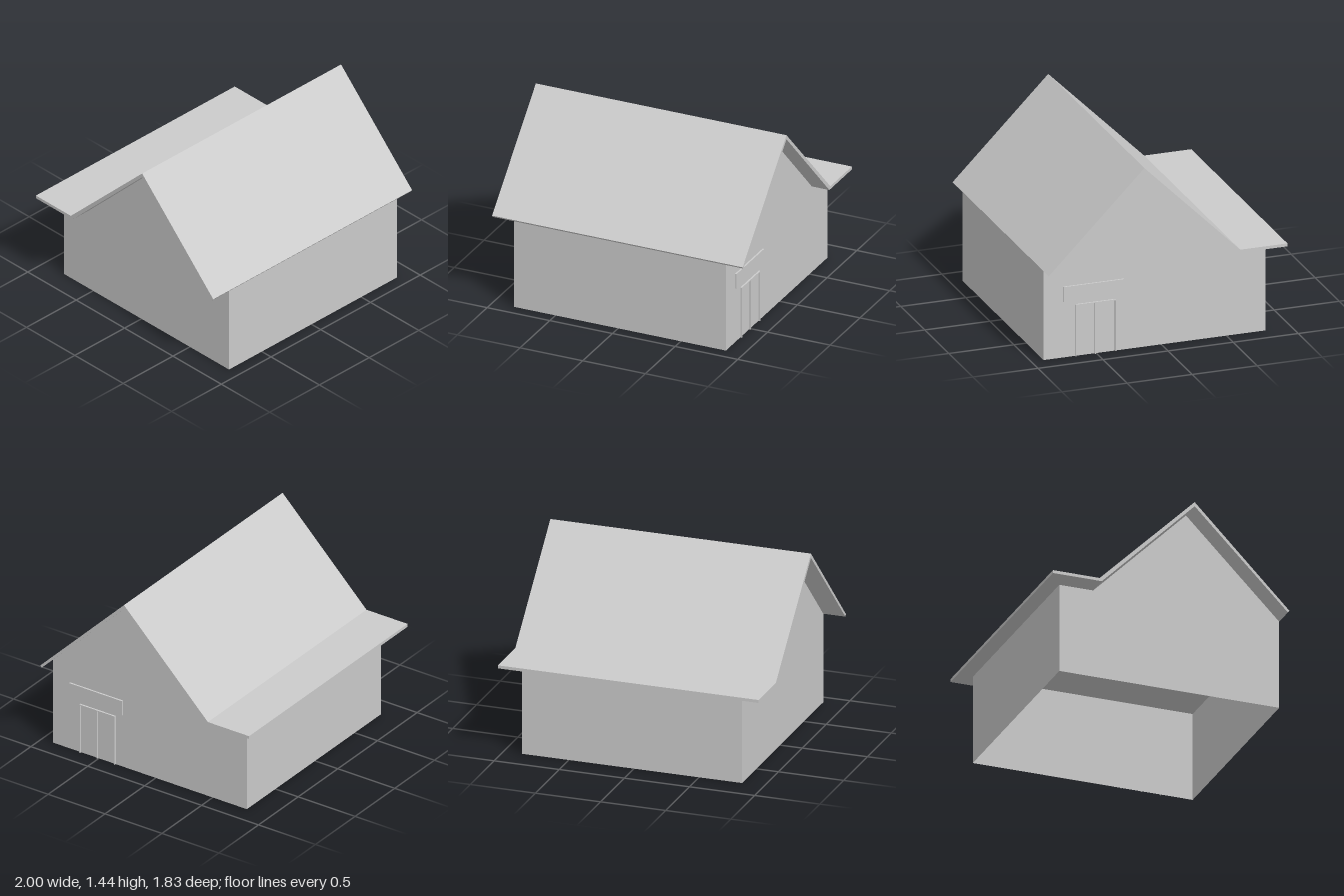
import * as THREE from 'three';

const material = new THREE.MeshStandardMaterial({ color: 0xcccccc, side: THREE.DoubleSide, flatShading: true });

// Overall sizes
const LEFT = -0.83, RIGHT = 0.86;     // gable wall positions along x
const FRONT = 0.905, BACK = -0.8;     // long wall positions along z
const EAVES = 0.685, RIDGE_Z = 0.182;
const RELIEF = 0.013;                 // how far door and sign stand out

function addMesh(parent, name, geometry) {
  const mesh = new THREE.Mesh(geometry, material);
  mesh.name = name;
  parent.add(mesh);
  return mesh;
}

// Shape from [z, y] points; drawn with -z as its horizontal axis so it faces +x once turned
function sideShape(points) {
  return new THREE.Shape(points.map(([z, y]) => new THREE.Vector2(-z, y)));
}

// Box standing out from the right wall, given by its z and y ranges
function wallBox(parent, name, z0, z1, y0, y1) {
  const box = addMesh(parent, name, new THREE.BoxGeometry(RELIEF, y1 - y0, z1 - z0));
  box.position.set(RIGHT + RELIEF / 2, (y0 + y1) / 2, (z0 + z1) / 2);
}

export function createModel() {
  const house = new THREE.Group();
  house.name = 'house';

  // Walls: thin shell, open at the bottom
  const walls = new THREE.Group();
  walls.name = 'walls';
  house.add(walls);
  const gable = sideShape([
    [FRONT, 0], [BACK, 0], [BACK, EAVES], [-0.54, EAVES], [RIDGE_Z, 1.405], [FRONT, EAVES],
  ]);
  for (const [name, x] of [['rightGableWall', RIGHT], ['leftGableWall', LEFT]]) {
    const geometry = new THREE.ShapeGeometry(gable).rotateY(Math.PI / 2);
    addMesh(walls, name, geometry).position.x = x;
  }
  const width = RIGHT - LEFT, midX = (RIGHT + LEFT) / 2;
  for (const [name, z, turn] of [['frontWall', FRONT, 0], ['backWall', BACK, Math.PI]]) {
    const wall = addMesh(walls, name, new THREE.PlaneGeometry(width, EAVES));
    wall.position.set(midX, EAVES / 2, z);
    wall.rotation.y = turn;
  }

  // Flat ceiling at eaves height
  const ceiling = addMesh(house, 'ceiling', new THREE.PlaneGeometry(width, FRONT - BACK));
  ceiling.rotation.x = Math.PI / 2;
  ceiling.position.set(midX, EAVES - 0.002, (FRONT + BACK) / 2);

  // Roof: two slopes and a flat rear canopy as one folded slab
  const roofShape = sideShape([
    [FRONT, EAVES], [RIDGE_Z, 1.405], [-0.538, EAVES], [-0.917, EAVES],
    [-0.917, 0.708], [-0.555, 0.708], [RIDGE_Z, 1.438], [0.917, 0.7],
  ]);
  const roof = new THREE.ExtrudeGeometry(roofShape, { depth: 2, bevelEnabled: false });
  addMesh(house, 'roof', roof.rotateY(Math.PI / 2).translate(-1, 0, 0));

  // Double door outlined by slim posts and a top rail
  const door = new THREE.Group();
  door.name = 'doorFrame';
  house.add(door);
  const bar = 0.007, top = 0.4;
  for (const z of [0.355, 0.51, 0.66]) {
    wallBox(door, 'doorPost', z - bar / 2, z + bar / 2, 0, top - bar);
  }
  wallBox(door, 'doorTopRail', 0.355 - bar / 2, 0.66 + bar / 2, top - bar, top);

  // Blank board above the door
  wallBox(house, 'signBoard', 0.288, 0.752, 0.43, 0.548);

  return house;
}
